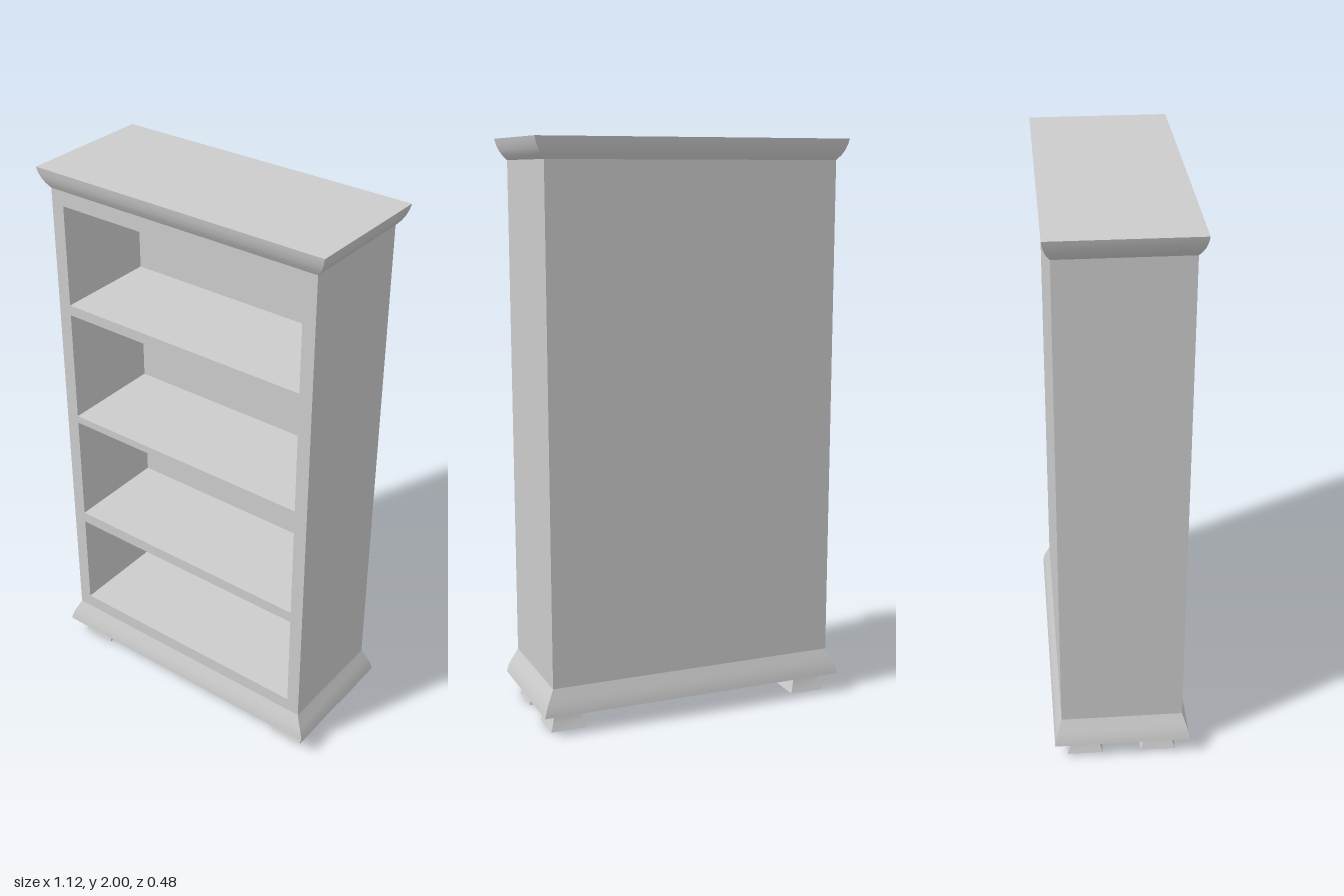
import * as THREE from 'three';
import { mergeGeometries } from 'three/addons/utils/BufferGeometryUtils.js';

const material = new THREE.MeshStandardMaterial({ color: 0xcccccc });
const HALF_W = 0.523, HALF_D = 0.215;
const BASE_TOP = 0.165, CORNICE_BOTTOM = 1.928, INNER_BACK = -0.16;

// Rectangular loft through levels [y, halfWidth, halfDepth]; smooth upward, sharp at corners.
function loft(levels) {
  const corner = ([y, w, d], i) => [[w, y, d], [w, y, -d], [-w, y, -d], [-w, y, d]][i % 4];
  const surface = (points, index) => {
    const g = new THREE.BufferGeometry();
    g.setAttribute('position', new THREE.Float32BufferAttribute(points.flat(), 3));
    g.setIndex(index);
    g.computeVertexNormals();
    return g;
  };
  const parts = [];
  for (let side = 0; side < 4; side++) {
    const points = [], index = [];
    levels.forEach((level, k) => {
      points.push(corner(level, side), corner(level, side + 1));
      if (k > 0) {
        const a = 2 * (k - 1);
        index.push(a, a + 1, a + 3, a, a + 3, a + 2);
      }
    });
    parts.push(surface(points, index));
  }
  // Bottom and top caps
  const ring = (level) => [0, 1, 2, 3].map((i) => corner(level, i));
  parts.push(surface(ring(levels[0]), [0, 2, 1, 0, 3, 2]));
  parts.push(surface(ring(levels[levels.length - 1]), [0, 1, 2, 0, 2, 3]));
  return mergeGeometries(parts);
}

function rect(target, x0, y0, x1, y1) {
  target.moveTo(x0, y0);
  target.lineTo(x1, y0);
  target.lineTo(x1, y1);
  target.lineTo(x0, y1);
  target.closePath();
  return target;
}

export function createModel() {
  const group = new THREE.Group();
  const add = (name, geometry, x = 0, y = 0, z = 0) => {
    const mesh = new THREE.Mesh(geometry, material);
    mesh.name = name;
    mesh.position.set(x, y, z);
    group.add(mesh);
  };

  // Frame with four shelf openings
  const frame = rect(new THREE.Shape(), -HALF_W, BASE_TOP, HALF_W, CORNICE_BOTTOM);
  for (const [y0, y1] of [[0.215, 0.583], [0.625, 1.032], [1.06, 1.472], [1.51, 1.875]]) {
    frame.holes.push(rect(new THREE.Path(), -0.475, y0, 0.475, y1));
  }
  add('shelfFrame', new THREE.ExtrudeGeometry(frame, {
    depth: HALF_D - INNER_BACK, bevelEnabled: false,
  }), 0, 0, INNER_BACK);

  // Back panel
  const bodyHeight = CORNICE_BOTTOM - BASE_TOP;
  add('backPanel', new THREE.BoxGeometry(2 * HALF_W, bodyHeight, INNER_BACK + HALF_D),
    0, BASE_TOP + bodyHeight / 2, (INNER_BACK - HALF_D) / 2);

  // Flared plinth and cornice
  add('plinth', loft([
    [0.073, 0.56, 0.241], [0.095, 0.555, 0.238], [0.12, 0.545, 0.231],
    [0.145, 0.532, 0.222], [BASE_TOP, HALF_W, HALF_D],
  ]));
  add('cornice', loft([
    [CORNICE_BOTTOM, HALF_W, HALF_D], [1.945, 0.538, 0.225], [1.96, 0.547, 0.232],
    [1.98, 0.555, 0.238], [2, 0.56, 0.241],
  ]));

  // Four splayed feet
  const foot = loft([
    [0, 0.064, 0.063], [0.025, 0.055, 0.054], [0.05, 0.049, 0.049], [0.074, 0.047, 0.047],
  ]);
  for (const [xName, sx] of [['Left', 1], ['Right', -1]]) {
    for (const [zName, sz] of [['front', 1], ['back', -1]]) {
      add(`${zName}${xName}Foot`, foot, sx * 0.461, 0, sz * 0.131);
    }
  }
  return group;
}
